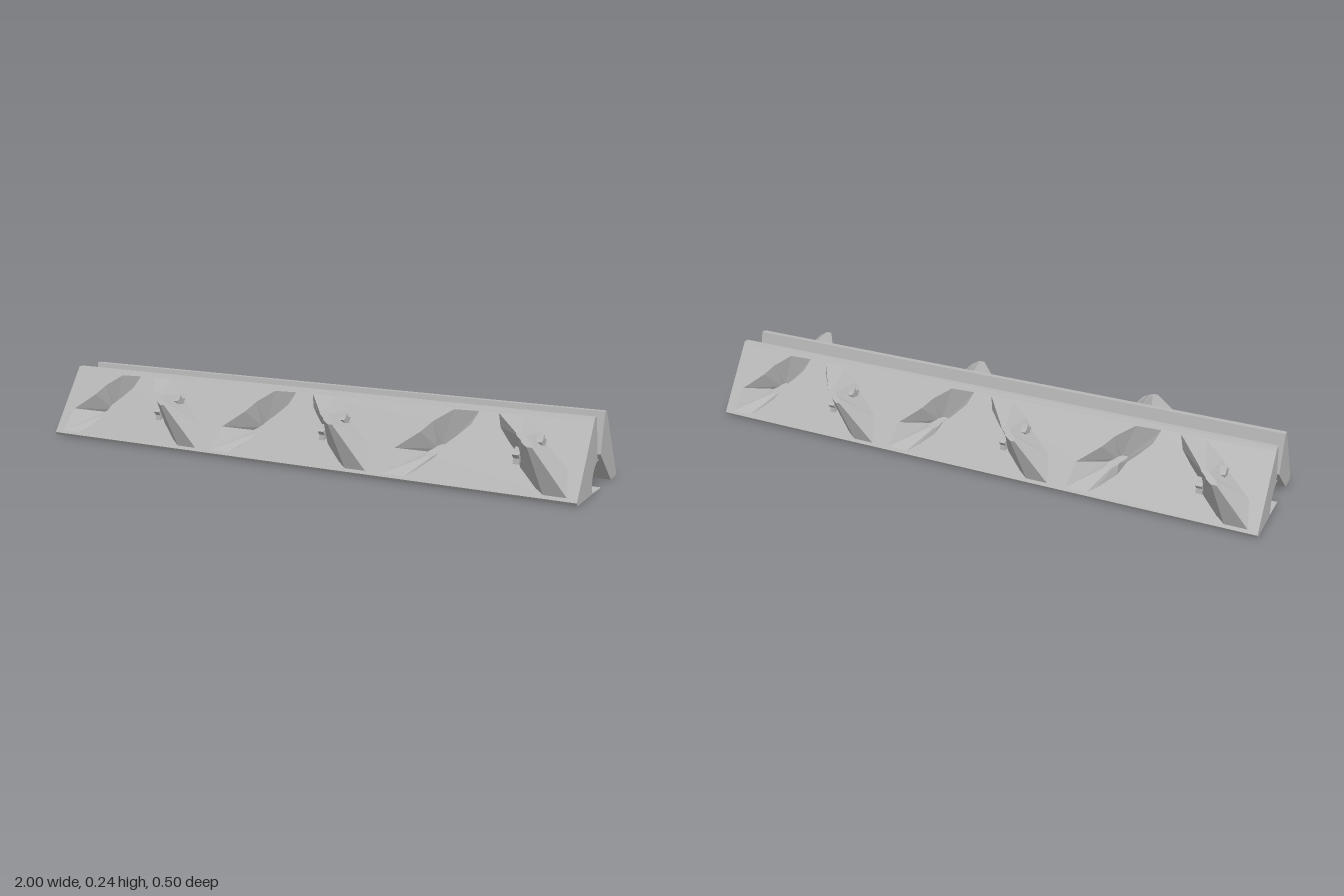
import * as THREE from 'three';

const V2 = (p) => new THREE.Vector2(p[0], p[1]);

// Point over the sloped outer face: x, height on the slope, distance out of the slope
const onSlope = (x, y, d) => [x, y + d * 0.54, 0.07 + (0.23 - y) * 0.648 + d * 0.842];

// Wedge cross-section as (z, y), from the slope's foot round the inside to the ridge
const wedge = [[0.2125, 0.01], [0.206, 0], [0.15, 0], [0.016, 0.11], [0.045, 0.24], [0.064, 0.24], [0.07, 0.23]];

// Outline of a slanted key on the slope as (x, y)
const keyOutline = [[-0.134, 0.02], [-0.118, 0.096], [-0.045, 0.15], [-0.01, 0.185], [0.05, 0.224], [0.134, 0.226],
  [0.118, 0.187], [0.08, 0.15], [0.048, 0.123], [0.027, 0.085], [-0.032, 0.037], [-0.06, 0.02]];

function fromTriangles(tris) {
  const g = new THREE.BufferGeometry();
  g.setAttribute('position', new THREE.Float32BufferAttribute(tris.flat(2), 3));
  g.computeVertexNormals();
  return g;
}

// Tapered block or pocket: the key outline lofted to a small flat tip
function keyGeometry(mirror, depth, sx, sy, tipX, tipY) {
  const pts = keyOutline.map(([x, y]) => [x * mirror, y]);
  const base = pts.map(([x, y]) => onSlope(x, y, 0));
  const tip = pts.map(([x, y]) => onSlope(tipX + (x - tipX) * sx, tipY + (y - tipY) * sy, depth));
  const tris = [];
  const add = (a, b, c) => tris.push(mirror * depth > 0 ? [a, b, c] : [a, c, b]);
  const n = pts.length;
  for (let i = 0; i < n; i++) {
    const j = (i + 1) % n;
    add(base[i], tip[i], tip[j]);
    add(base[i], tip[j], base[j]);
  }
  THREE.ShapeUtils.triangulateShape(pts.map(V2), []).forEach(([a, b, c]) => tris.push([tip[a], tip[b], tip[c]]));
  // Outlines run clockwise before mirroring, so outward sides need the swapped order
  return fromTriangles(tris);
}

// Extrudes a (z, y) shape along -x from x = 0
function alongX(shape, depth) {
  return new THREE.ExtrudeGeometry(shape, { depth, bevelEnabled: false, curveSegments: 20 }).rotateY(-Math.PI / 2);
}

function starShape(r) {
  const pts = [];
  for (let i = 0; i < 10; i++) {
    const a = (i * Math.PI) / 5 + 0.3;
    const q = i % 2 ? r * 0.55 : r;
    pts.push(new THREE.Vector2(Math.cos(a) * q, Math.sin(a) * q));
  }
  return new THREE.Shape(pts);
}

export function createModel() {
  const gray = new THREE.MeshStandardMaterial({ color: 0xb8b8b8, side: THREE.DoubleSide });
  gray.name = 'gray';
  const group = new THREE.Group();

  function makeHalf(name) {
    const half = new THREE.Group();
    half.name = name;
    const add = (geometry, part, x = 0, y = 0, z = 0) => {
      const m = new THREE.Mesh(geometry, gray);
      m.name = part;
      m.position.set(x, y, z);
      half.add(m);
    };

    // Inner and lower faces of the wedge bar
    const tris = [];
    for (let i = 0; i < wedge.length - 1; i++) {
      const [z0, y0] = wedge[i], [z1, y1] = wedge[i + 1];
      tris.push([[-1, y0, z0], [-1, y1, z1], [1, y1, z1]], [[-1, y0, z0], [1, y1, z1], [1, y0, z0]]);
    }
    add(fromTriangles(tris), 'wedgeBar');

    // End caps
    for (const side of [-1, 1]) {
      const cap = new THREE.ShapeGeometry(new THREE.Shape(wedge.map(V2)));
      cap.rotateY(-Math.PI / 2);
      if (side > 0) {
        const ix = cap.index.array;
        for (let i = 0; i < ix.length; i += 3) [ix[i], ix[i + 1]] = [ix[i + 1], ix[i]];
        cap.computeVertexNormals();
      }
      add(cap, 'endCap', side);
    }

    // Sloped face, pierced where the pockets sit
    const face = new THREE.Shape([[-1, 0.01], [1, 0.01], [1, 0.23], [-1, 0.23]].map(V2));
    const pocketX = [-5 / 6, -1 / 6, 0.5];
    for (const cx of pocketX) face.holes.push(new THREE.Path(keyOutline.map(([x, y]) => new THREE.Vector2(x + cx, y))));
    const slope = new THREE.ShapeGeometry(face);
    const pos = slope.attributes.position;
    for (let i = 0; i < pos.count; i++) pos.setXYZ(i, ...onSlope(pos.getX(i), pos.getY(i), 0));
    slope.computeVertexNormals();
    add(slope, 'slopeFace');

    // Sunken pockets and the matching raised keys, mirrored in slant
    for (const cx of pocketX) {
      add(keyGeometry(1, -0.075, 0.25, 0.2, -0.01, 0.123), 'keyPocket', cx);
      const kx = cx + 1 / 3;
      add(keyGeometry(-1, 0.12, 0.22, 0.17, 0.01, 0.123), 'raisedKey', kx);
      // Small star studs on both flanks of the key
      add(alongX(starShape(0.028), 0.02), 'starStud', kx + 0.042, 0.165, 0.157);
      add(alongX(starShape(0.028), 0.02), 'starStud', kx - 0.018, 0.125, 0.185);
    }

    // Hinge knuckles reaching across the middle
    const knuckle = new THREE.Shape();
    knuckle.moveTo(0.15, 0);
    knuckle.lineTo(0.016, 0.11);
    knuckle.lineTo(0.013, 0.097);
    knuckle.lineTo(0, 0.097);
    knuckle.absarc(0, 0.035, 0.062, Math.PI / 2, -0.6, true);
    knuckle.lineTo(-0.04, 0);
    for (let i = 0; i < 6; i++) add(alongX(knuckle, 0.155), 'hingeKnuckle', 1 - i / 3 - (i ? 0.006 : 0));
    return half;
  }

  const front = makeHalf('frontHalf');
  const back = makeHalf('backHalf');
  back.rotation.y = Math.PI;
  group.add(front, back);
  return group;
}
